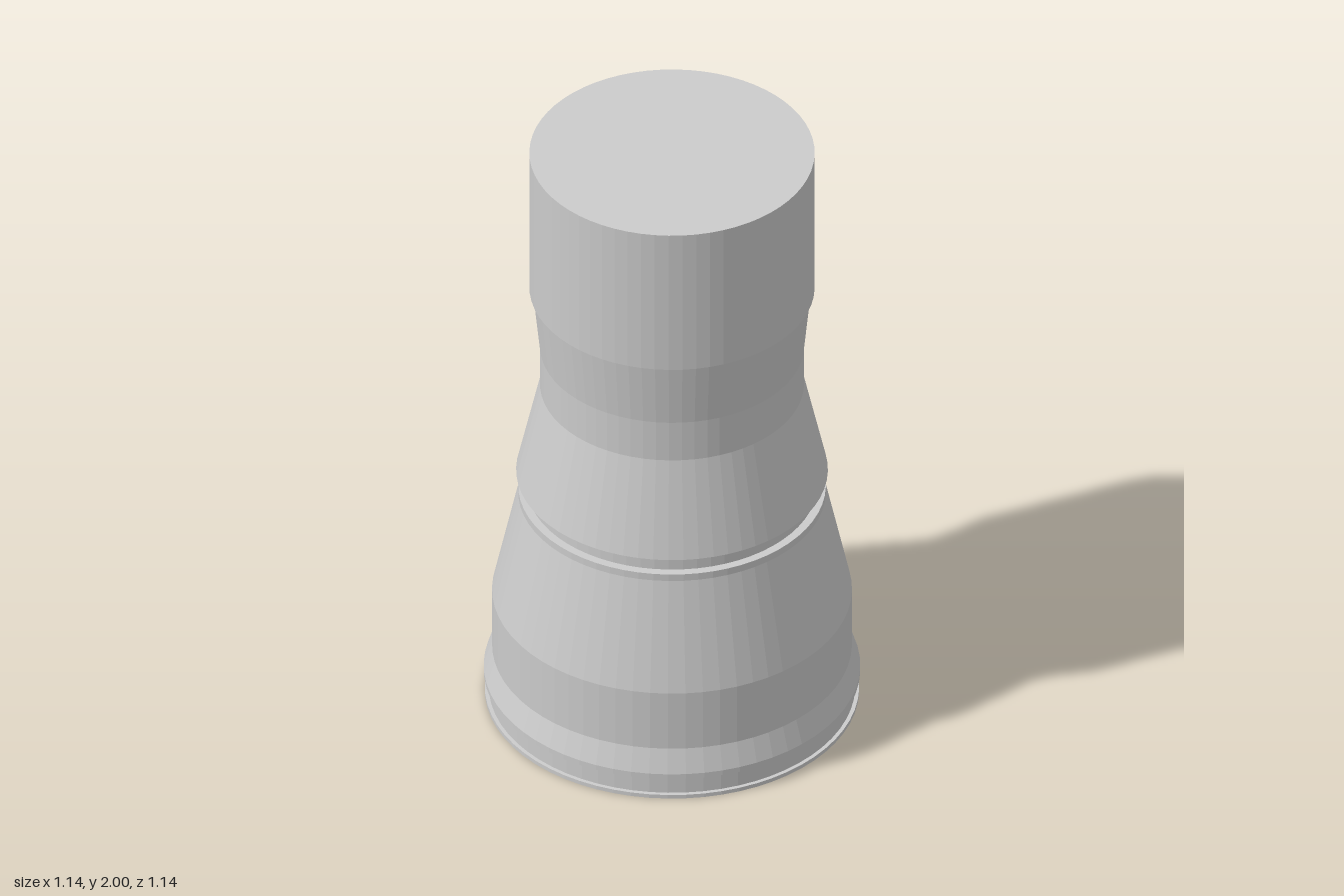
import * as THREE from 'three';

const SIDES = 64;

export function createModel() {
  const group = new THREE.Group();
  const material = new THREE.MeshStandardMaterial({ color: 0xcccccc, flatShading: true });

  // Turned solid from [radius, height] pairs, bottom to top, open where it meets its neighbour
  const turned = (name, profile) => {
    const points = profile.map(([r, y]) => new THREE.Vector2(r, y));
    const mesh = new THREE.Mesh(new THREE.LatheGeometry(points, SIDES), material);
    mesh.name = name;
    group.add(mesh);
  };

  // Thin rim and recessed band at the foot
  turned('baseRim', [[0, 0], [0.567, 0], [0.567, 0.013], [0.555, 0.013]]);
  turned('baseBand', [[0.555, 0.013], [0.555, 0.075]]);

  // Flared collar rising into the lower body
  turned('baseCollar', [[0.555, 0.075], [0.57, 0.075], [0.57, 0.092], [0.545, 0.17]]);
  turned('lowerBody', [[0.545, 0.17], [0.545, 0.375], [0.466, 0.738], [0.466, 0.762], [0.44, 0.762]]);

  // Groove between the two halves
  turned('groove', [[0.44, 0.762], [0.44, 0.82]]);

  // Waisted upper body
  turned('upperBody', [[0.44, 0.82], [0.472, 0.82], [0.4, 1.14], [0.4, 1.28], [0.422, 1.5]]);

  // Plain cylindrical head with a flat top
  turned('head', [[0.422, 1.5], [0.432, 1.5], [0.432, 2], [0, 2]]);

  return group;
}
